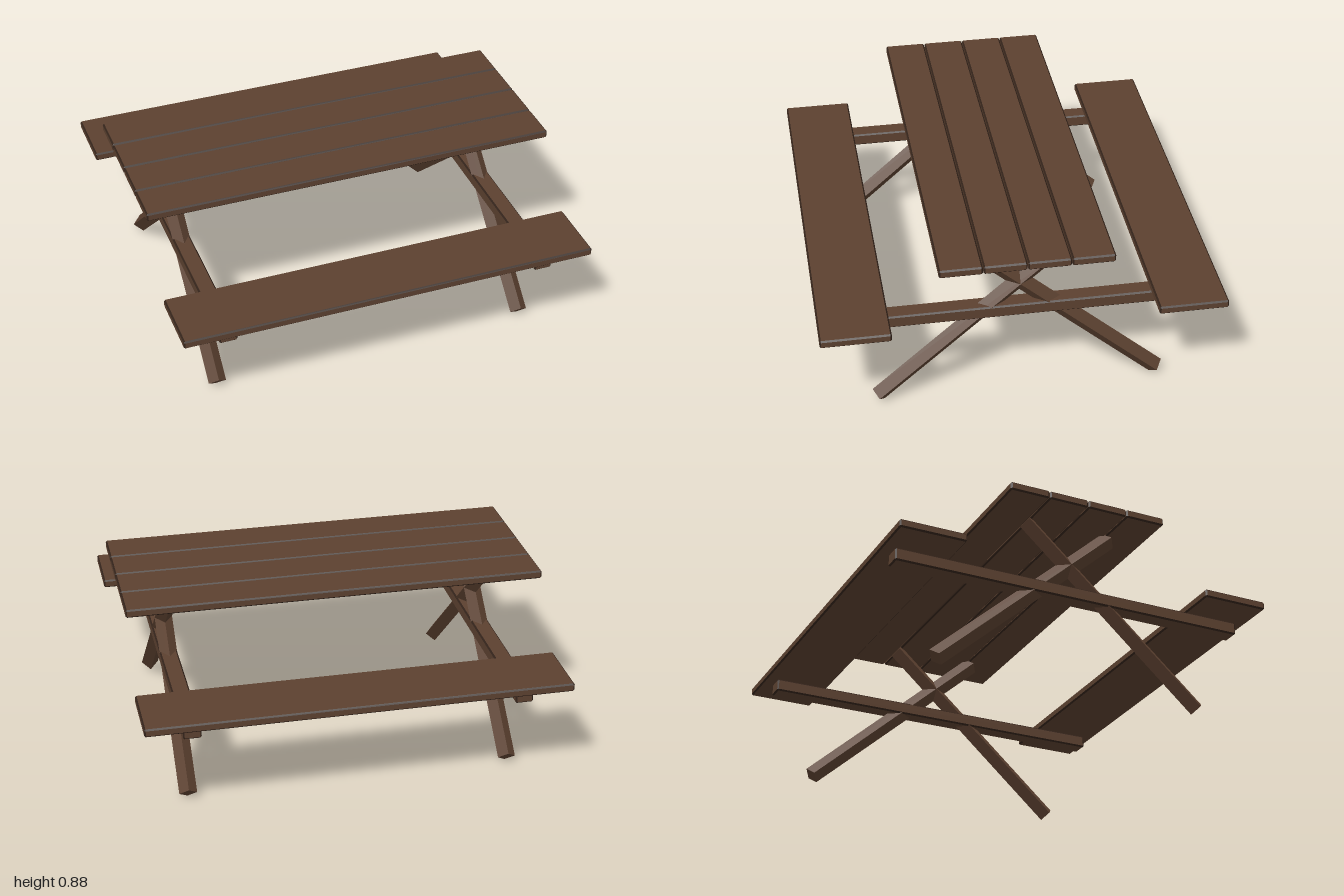
import * as THREE from 'three';

const wood = new THREE.MeshStandardMaterial({ color: 0x5c4130 });
wood.name = 'brown wood';
const edge = new THREE.MeshStandardMaterial({ color: 0x33231a });
edge.name = 'dark edge';

// Box with chamfered edges: group 0 is the six faces, group 1 the chamfers
function chamferedBox(w, h, d, c) {
  const half = [w / 2, h / 2, d / 2];
  const pos = [];
  // corner point lying on the face whose axis is given
  const point = (signs, axis) => new THREE.Vector3(
    ...signs.map((s, i) => s * (half[i] - (i === axis ? 0 : c))));
  const tri = (a, b, e) => {
    const n = b.clone().sub(a).cross(e.clone().sub(a));
    const mid = a.clone().add(b).add(e);
    const order = n.dot(mid) > 0 ? [a, b, e] : [a, e, b];
    order.forEach((p) => pos.push(p.x, p.y, p.z));
  };
  const quad = (a, b, e, f) => { tri(a, b, e); tri(a, e, f); };
  const corner = (i, si, j, sj, k, sk) => {
    const s = [0, 0, 0];
    s[i] = si; s[j] = sj; s[k] = sk;
    return s;
  };
  // flat faces
  for (let i = 0; i < 3; i++) {
    const j = (i + 1) % 3, k = (i + 2) % 3;
    for (const s of [-1, 1]) {
      quad(...[[-1, -1], [1, -1], [1, 1], [-1, 1]].map(([a, b]) => point(corner(i, s, j, a, k, b), i)));
    }
  }
  const faceCount = pos.length / 3;
  // edge strips
  for (let i = 0; i < 3; i++) {
    const j = (i + 1) % 3, k = (i + 2) % 3;
    for (const a of [-1, 1]) for (const b of [-1, 1]) {
      const p = corner(i, -1, j, a, k, b), q = corner(i, 1, j, a, k, b);
      quad(point(p, j), point(q, j), point(q, k), point(p, k));
    }
  }
  // corner triangles
  for (const x of [-1, 1]) for (const y of [-1, 1]) for (const z of [-1, 1]) {
    tri(...[0, 1, 2].map((axis) => point([x, y, z], axis)));
  }
  const g = new THREE.BufferGeometry();
  g.setAttribute('position', new THREE.Float32BufferAttribute(pos, 3));
  g.computeVertexNormals();
  g.addGroup(0, faceCount, 0);
  g.addGroup(faceCount, pos.length / 3 - faceCount, 1);
  return g;
}

export function createModel() {
  const table = new THREE.Group();
  table.name = 'picnicTable';

  const add = (name, geometry, material, x, y, z) => {
    const mesh = new THREE.Mesh(geometry, material);
    mesh.name = name;
    mesh.position.set(x, y, z);
    table.add(mesh);
    return mesh;
  };

  // Four boards of the table top
  const topBoard = chamferedBox(2, 0.04, 0.197, 0.007);
  for (let i = 0; i < 4; i++) {
    add('topBoard', topBoard, [wood, edge], 0, 0.86, (i - 1.5) * 0.2);
  }

  // Bench seats
  const seat = chamferedBox(2, 0.04, 0.325, 0.007);
  for (const s of [-1, 1]) add('benchSeat', seat, [wood, edge], 0, 0.535, s * 0.777);

  // End frames: a cross beam and two crossed legs, each leg turned edge-on
  const beam = chamferedBox(0.085, 0.062, 1.77, 0.007);
  const dz = 0.884, dy = 0.79;
  const leg = new THREE.BoxGeometry(0.06, Math.hypot(dz, dy), 0.06);
  leg.rotateY(Math.PI / 4);
  for (const x of [-0.778, 0.778]) {
    add('crossBeam', beam, [wood, edge], x, 0.482, 0);
    for (const s of [-1, 1]) {
      add('leg', leg, wood, x, 0.428, s * 0.225).rotation.x = -s * Math.atan2(dz, dy);
    }
  }
  return table;
}
